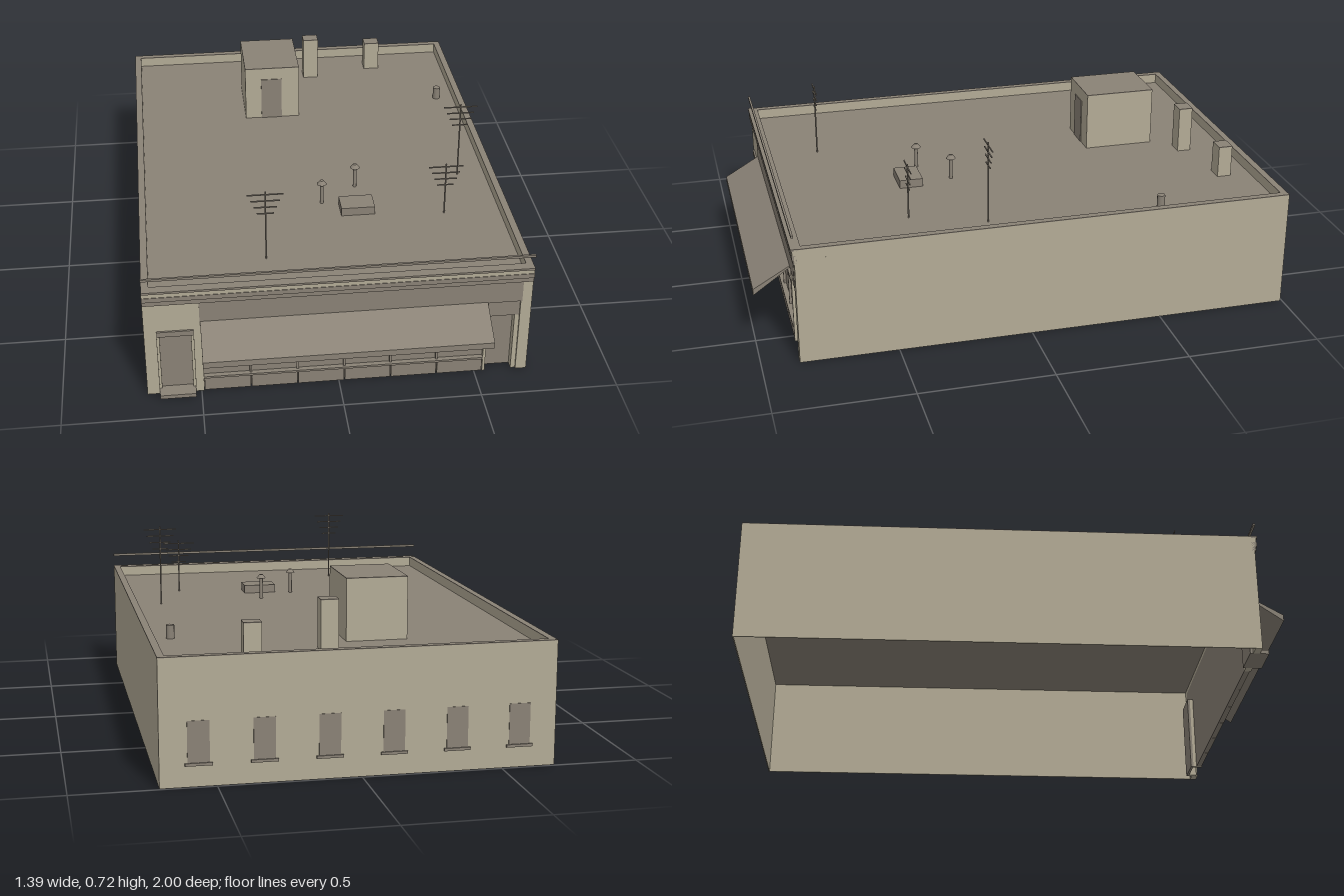
import * as THREE from 'three';

const mat = (name, color, side = THREE.FrontSide) => {
  const m = new THREE.MeshStandardMaterial({ color, side });
  m.name = name;
  return m;
};

export function createModel() {
  const group = new THREE.Group();
  const tan = mat('tanMasonry', 0xb3ab96);
  const grey = mat('greyTrim', 0x8a8276);

  const add = (name, geo, material, parent = group) => {
    const m = new THREE.Mesh(geo, material);
    m.name = name;
    parent.add(m);
    return m;
  };
  // Box given by its limits on each axis
  const box = (name, material, x0, x1, y0, y1, z0, z1, parent) => {
    const g = new THREE.BoxGeometry(x1 - x0, y1 - y0, z1 - z0);
    g.translate((x0 + x1) / 2, (y0 + y1) / 2, (z0 + z1) / 2);
    return add(name, g, material, parent);
  };
  const cyl = (name, material, x, z, y0, y1, r0, r1 = r0, parent = group, sides = 12) => {
    const g = new THREE.CylinderGeometry(r1, r0, y1 - y0, sides);
    g.translate(x, (y0 + y1) / 2, z);
    return add(name, g, material, parent);
  };

  const W = 0.695, H = 0.45, ROOF = 0.41, BACK = -0.993, FRONT = 0.863;

  // Thin shell walls, open at the bottom
  for (const s of [-1, 1]) {
    const a = s * W, b = s * (W - 0.004);
    box(s > 0 ? 'leftWall' : 'rightWall', tan, Math.min(a, b), Math.max(a, b), 0, ROOF, BACK, FRONT);
  }
  box('backWall', tan, -W, W, 0, ROOF, BACK, BACK + 0.004);
  box('roof', grey, -W + 0.003, W - 0.003, ROOF - 0.004, ROOF, BACK + 0.003, FRONT - 0.003);

  // Parapet around the roof
  const P = 0.026;
  for (const s of [-1, 1]) {
    const a = s * W, b = s * (W - P);
    box('parapetSide', tan, Math.min(a, b), Math.max(a, b), ROOF, H - 0.003, BACK, FRONT);
    box('copingSide', grey, Math.min(a, b), Math.max(a, b), H - 0.003, H, BACK, FRONT);
  }
  for (const [z0, z1] of [[BACK, BACK + P], [FRONT - P, FRONT]]) {
    box('parapetEnd', tan, -W + P, W - P, ROOF, H - 0.003, z0, z1);
    box('copingEnd', grey, -W + P, W - P, H - 0.003, H, z0, z1);
  }

  // Front piers with openings for the doors and shopfront
  const facade = new THREE.Shape([
    [-W, 0], [-0.65, 0], [-0.65, 0.255], [-0.52, 0.255], [-0.52, 0], [-0.49, 0],
    [-0.49, 0.315], [-0.497, 0.315], [-0.497, 0.39], [0.66, 0.39], [0.66, 0.315],
    [0.655, 0.315], [0.655, 0], [W, 0], [W, ROOF], [-W, ROOF],
  ].map(([x, y]) => new THREE.Vector2(x, y)));
  const facadeGeo = new THREE.ExtrudeGeometry(facade, { depth: 0.025, bevelEnabled: false });
  facadeGeo.translate(0, 0, FRONT - 0.025);
  add('facadePiers', facadeGeo, tan);

  // Cornice mouldings and the long rail above them
  box('corniceLower', grey, -W, W, 0.39, 0.408, FRONT - 0.01, FRONT + 0.005);
  box('corniceMiddle', grey, -W, W, 0.408, 0.426, FRONT - 0.01, FRONT + 0.009);
  box('corniceUpper', tan, -W, W, 0.426, 0.443, FRONT - 0.01, FRONT + 0.007);
  box('corniceCap', grey, -W, W, 0.443, H + 0.001, FRONT - 0.01, FRONT + 0.012);
  box('frontRail', grey, -W, W, 0.495, 0.504, FRONT, FRONT + 0.008);

  // Shopfront: sign band, glazing, mullions and base blocks
  box('signBand', grey, -0.497, 0.66, 0.305, 0.39, 0.838, FRONT + 0.001);
  box('shopGlass', grey, -0.49, 0.53, 0, 0.31, 0.838, 0.845);
  box('shopTransom', grey, -0.49, 0.53, 0.2, 0.212, 0.845, 0.855);
  box('shopSill', grey, -0.49, 0.53, 0.054, 0.062, 0.845, 0.864);
  const bays = 6, bayW = 1.02 / bays;
  for (let i = 0; i < bays; i++) {
    const x = -0.49 + i * bayW;
    box('baseBlock', grey, x + 0.002, x + bayW - 0.002, 0, 0.054, 0.845, 0.859);
    if (i) box('mullion', grey, x - 0.004, x + 0.004, 0.062, 0.31, 0.845, 0.854);
  }

  // Sloping awning with a short front edge
  const awning = new THREE.Shape([
    new THREE.Vector2(0.862, 0.31), new THREE.Vector2(0.862, 0.303),
    new THREE.Vector2(1.0, 0.206), new THREE.Vector2(1.0, 0.23),
  ]);
  const awningGeo = new THREE.ExtrudeGeometry(awning, { depth: 1.03, bevelEnabled: false });
  awningGeo.rotateY(-Math.PI / 2); // profile x becomes z, depth runs to -x
  awningGeo.translate(0.535, 0, 0);
  add('awning', awningGeo, grey);

  // Side entrance at the model's right
  box('rightDoor', grey, -0.65, -0.52, 0, 0.256, 0.828, 0.84);
  box('rightDoorJamb', tan, -0.65, -0.641, 0.015, 0.255, 0.84, 0.852);
  box('rightDoorJamb', tan, -0.529, -0.52, 0.015, 0.255, 0.84, 0.852);
  box('rightDoorLintel', grey, -0.65, -0.52, 0.255, 0.276, FRONT - 0.01, FRONT + 0.007);
  box('rightDoorStep', grey, -0.65, -0.52, 0, 0.015, 0.838, 0.896);

  // Shop entrance at the model's left
  box('leftDoor', grey, 0.53, 0.655, 0, 0.31, 0.815, 0.825);
  box('leftDoorHead', grey, 0.538, 0.655, 0.24, 0.302, 0.825, 0.856);
  box('leftDoorPost', tan, 0.638, 0.655, 0, 0.24, 0.825, 0.856);
  box('leftDoorPost', tan, 0.53, 0.54, 0, 0.31, 0.825, 0.861);

  // Back windows with sills
  for (let i = 0; i < 6; i++) {
    const x = -0.563 + i * 0.225;
    box('backWindow', grey, x - 0.038, x + 0.038, 0.084, 0.23, BACK - 0.002, BACK + 0.001);
    box('backSill', grey, x - 0.047, x + 0.047, 0.074, 0.084, BACK - 0.007, BACK + 0.001);
  }

  // Stair house, chimneys and hatch on the roof
  box('stairHouse', tan, -0.235, -0.01, ROOF, 0.636, -0.70, -0.425);
  box('stairHouseRoof', grey, -0.235, -0.01, 0.636, 0.639, -0.70, -0.425);
  box('stairHouseDoor', grey, -0.169, -0.084, ROOF, 0.588, -0.426, -0.422);
  for (const [x, z, top] of [[0.078, -0.802, 0.588], [0.358, -0.86, 0.53]]) {
    box('chimney', tan, x - 0.032, x + 0.032, ROOF, top, z - 0.027, z + 0.027);
    box('chimneyTop', grey, x - 0.032, x + 0.032, top, top + 0.003, z - 0.027, z + 0.027);
  }
  box('roofHatch', grey, 0.066, 0.194, ROOF, 0.442, 0.30, 0.39);
  cyl('roofPipe', grey, 0.598, -0.52, ROOF, 0.46, 0.015);

  // Mushroom vents
  for (const [x, z] of [[0.145, 0.178], [0.003, 0.286]]) {
    const vent = new THREE.Group();
    vent.name = 'roofVent';
    group.add(vent);
    cyl('ventPipe', grey, x, z, ROOF, 0.498, 0.007, 0.007, vent);
    cyl('ventCap', grey, x, z, 0.494, 0.509, 0.019, 0.007, vent);
  }

  // Aerials: a mast with four crossbars, shorter toward the bottom
  for (const [x, z, top] of [[-0.241, 0.645, 0.692], [0.456, 0.41, 0.624], [0.561, 0.135, 0.724]]) {
    const aerial = new THREE.Group();
    aerial.name = 'aerial';
    group.add(aerial);
    cyl('mast', grey, x, z, ROOF, top, 0.003, 0.003, aerial, 6);
    [0.065, 0.053, 0.042, 0.031].forEach((half, i) => {
      const y = top - 0.012 - i * 0.026;
      box('crossbar', grey, x - half, x + half, y - 0.002, y + 0.002, z - 0.002, z + 0.002, aerial);
    });
  }

  return group;
}
